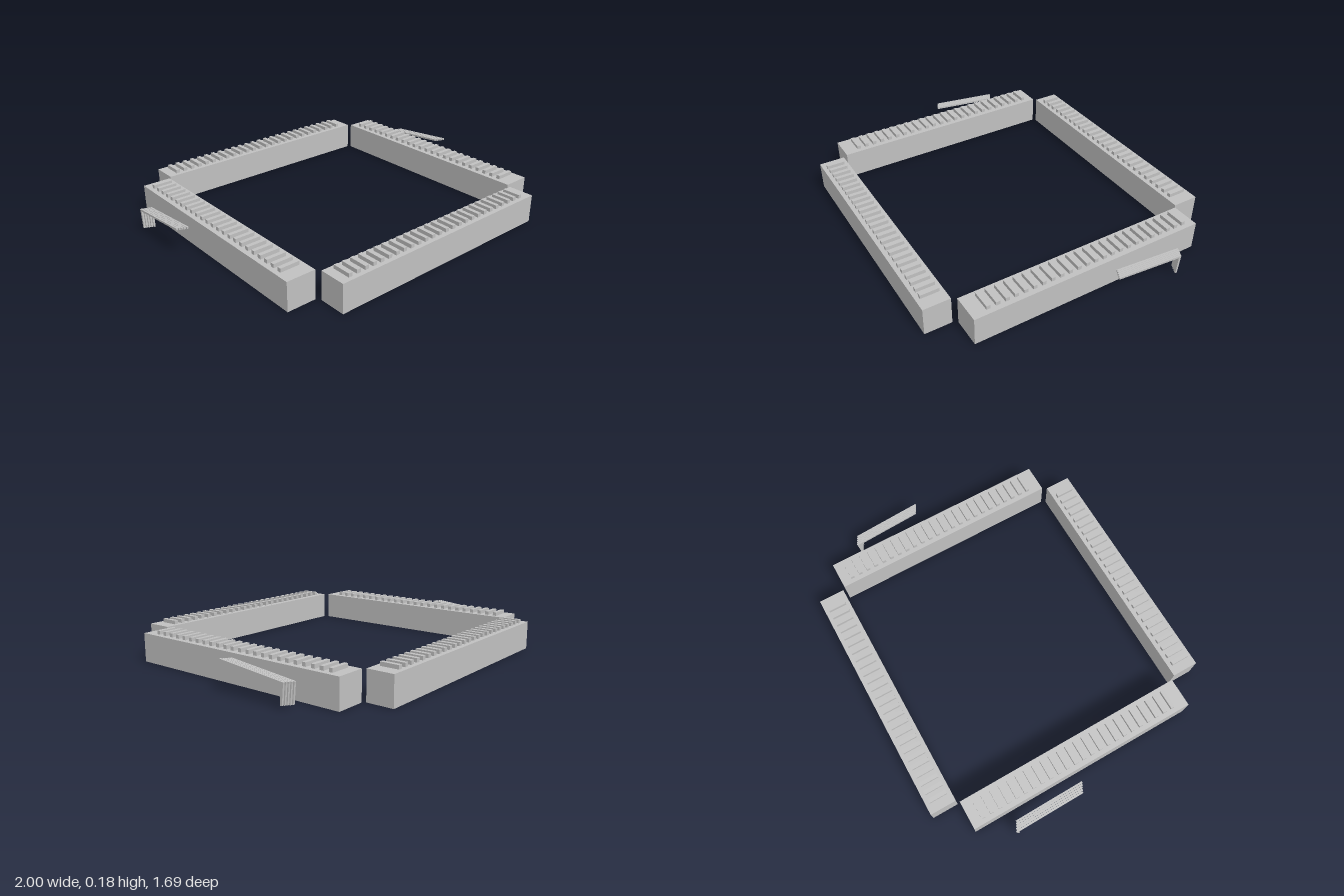
import * as THREE from 'three';

export function createModel() {
  const model = new THREE.Group();
  const grey = new THREE.MeshStandardMaterial({ color: 0xc0c0c0 });
  grey.name = 'light grey';

  // box from its minimum and maximum corners
  function box(name, x0, x1, y0, y1, z0, z1, parent) {
    const mesh = new THREE.Mesh(new THREE.BoxGeometry(x1 - x0, y1 - y0, z1 - z0), grey);
    mesh.position.set((x0 + x1) / 2, (y0 + y1) / 2, (z0 + z1) / 2);
    mesh.name = name;
    parent.add(mesh);
  }

  const barTop = 0.16, ribTop = 0.181, half = 0.011;

  // front and back bars with a row of ribs across each
  for (const [name, z0] of [['frontBar', 0.697], ['backBar', -0.847]]) {
    const bar = new THREE.Group();
    bar.name = name;
    box('beam', -0.7, 0.697, 0, barTop, z0, z0 + 0.15, bar);
    for (let i = 0; i < 26; i++) {
      const x = -0.635 + i * 0.05;
      box('rib', x - half, x + half, barTop, ribTop, z0 + 0.023, z0 + 0.127, bar);
    }
    model.add(bar);
  }

  // left and right bars with a row of ribs across each
  for (const [name, x0] of [['leftBar', 0.711], ['rightBar', -0.878]]) {
    const bar = new THREE.Group();
    bar.name = name;
    box('beam', x0, x0 + 0.163, 0, barTop, -0.682, 0.672, bar);
    for (let i = 0; i < 24; i++) {
      const z = -0.613 + i * 0.0519;
      box('rib', x0 + 0.026, x0 + 0.136, barTop, ribTop, z - half, z + half, bar);
    }
    model.add(bar);
  }

  // bent rod outline in (z, y): sloping arm and a short leg
  const outline = new THREE.Shape([
    [-0.485, 0.011], [-0.474, 0.011], [-0.48, 0.111], [-0.09, 0.151],
    [-0.09, 0.162], [-0.496, 0.121], [-0.494, 0.111],
  ].map(([z, y]) => new THREE.Vector2(z, y)));
  const rodGeometry = new THREE.ExtrudeGeometry(outline, { depth: 0.0105, bevelEnabled: false });
  rodGeometry.rotateY(-Math.PI / 2);

  // a staggered bundle of rods beside each side bar
  for (const [name, x0] of [['leftRods', 0.943], ['rightRods', -1]]) {
    const bundle = new THREE.Group();
    bundle.name = name;
    for (let i = 0; i < 5; i++) {
      const rod = new THREE.Mesh(rodGeometry, grey);
      rod.name = 'bentRod';
      rod.position.set(x0 + 0.0105 + i * 0.0116, i * 0.0006, i * 0.0062);
      bundle.add(rod);
    }
    model.add(bundle);
  }
  return model;
}
